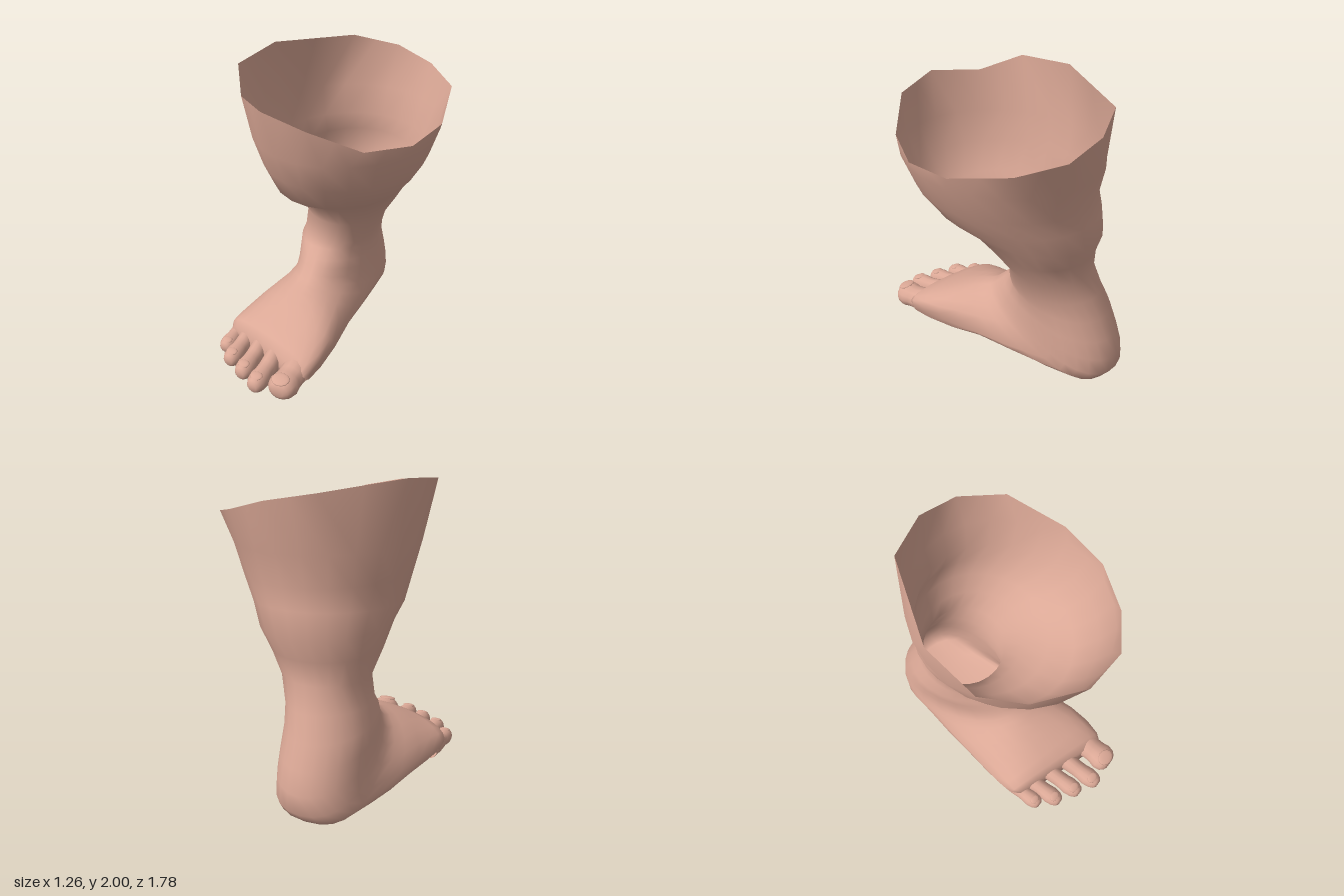
import * as THREE from 'three';

const SEG = 24;
const skin = new THREE.MeshStandardMaterial({ color: 0xdba896, side: THREE.DoubleSide });

// A closed ring of n points, each found from the cosine and sine of its angle
function ring(n, point) {
  return Array.from({ length: n }, (_, i) => {
    const t = i / n * Math.PI * 2;
    return point(Math.cos(t), Math.sin(t));
  });
}

// Skin a list of rings and close the last one with a fan
function loft(rings, name) {
  const pos = rings.flat(2), idx = [], n = rings[0].length, end = (rings.length - 1) * n;
  for (let k = 0; k < end; k += n) {
    for (let i = 0; i < n; i++) {
      const a = k + i, b = k + (i + 1) % n;
      idx.push(a, b, a + n, b, b + n, a + n);
    }
  }
  const last = rings[rings.length - 1];
  for (let q = 0; q < 3; q++) pos.push(last.reduce((s, p) => s + p[q], 0) / n);
  for (let i = 0; i < n; i++) idx.push(end + i, end + (i + 1) % n, end + n);
  const g = new THREE.BufferGeometry();
  g.setAttribute('position', new THREE.Float32BufferAttribute(pos, 3));
  g.setIndex(idx);
  g.computeVertexNormals();
  const mesh = new THREE.Mesh(g, skin);
  mesh.name = name;
  return mesh;
}

// Corners of the uneven twelve-sided calf rim, from the left side round the front
const RIM = [
  [0.63, 1.69, -0.12], [0.57, 1.67, 0.2], [0.38, 1.7, 0.46], [0.11, 1.84, 0.63],
  [-0.18, 1.9, 0.62], [-0.44, 1.87, 0.41], [-0.6, 1.97, 0.18], [-0.56, 2, -0.2],
  [-0.23, 1.95, -0.7], [0.07, 1.9, -0.78], [0.33, 1.83, -0.72], [0.55, 1.78, -0.51],
];

// Add the middle of each side so the rim meets the rings below
function rimRing() {
  return RIM.flatMap((p, i) => {
    const next = RIM[(i + 1) % RIM.length];
    return [p, p.map((v, q) => (v + next[q]) / 2)];
  });
}

// Each ring: back z, back y, front z, front y, smallest x, largest x
const CALF = [
  [-0.74, 1.6, 0.58, 1.6, -0.565, 0.6],
  [-0.7, 1.4, 0.5, 1.4, -0.52, 0.53],
  [-0.72, 1.27, 0.37, 1.2, -0.5, 0.43],
  [-0.73, 1.1, 0.2, 1.15, -0.48, 0.35],
  [-0.68, 0.96, 0.02, 0.98, -0.45, 0.26],
  [-0.67, 0.81, -0.1, 0.8, -0.4, 0.16],
  [-0.73, 0.65, -0.08, 0.64, -0.42, 0.11],
];
// The same for the foot, turning from the heel to the toe line: sole point, then instep point
const FOOT = [
  [-0.79, 0.49, -0.06, 0.6, -0.46, 0.09],
  [-0.85, 0.34, 0, 0.54, -0.465, 0.09],
  [-0.89, 0.2, 0.04, 0.5, -0.47, 0.09],
  [-0.89, 0.08, 0.08, 0.46, -0.48, 0.09],
  [-0.83, 0.01, 0.12, 0.43, -0.5, 0.09],
  [-0.6, 0, 0.17, 0.41, -0.52, 0.09],
  [-0.35, 0, 0.22, 0.39, -0.555, 0.1],
  [-0.05, 0.01, 0.3, 0.36, -0.59, 0.11],
  [0.2, 0.01, 0.4, 0.32, -0.62, 0.125],
  [0.4, 0.01, 0.49, 0.275, -0.635, 0.125],
  [0.52, 0.01, 0.56, 0.235, -0.63, 0.11],
  [0.61, 0.04, 0.59, 0.18, -0.6, 0.07],
];

function calfRing([bz, by, fz, fy, x0, x1]) {
  return ring(SEG, (c, s) => [
    (x0 + x1) / 2 + (x1 - x0) / 2 * c,
    by + (fy - by) * (1 + s) / 2,
    bz + (fz - bz) * (1 + s) / 2,
  ]);
}

function footRing([bz, by, fz, fy, x0, x1]) {
  const u = (fz + 0.06) / 0.65;                                     // progress from ankle to toe line
  const mid = 0.33 + 0.65 * (u - 0.45) ** 2;                        // height of the widest point
  const lean = 0.09 * Math.sin(Math.PI * u * u);                    // instep ridge towards the big toe
  const flat = 1 - 0.4 * THREE.MathUtils.smoothstep(u, 0.1, 0.42);  // flatness of the sole
  const full = 1 - 0.15 * THREE.MathUtils.smoothstep(u, 0.3, 0.6);  // fullness of the instep
  const skew = 0.36 * u ** 2.2;                                     // slant of the toe line
  const arch = 0.09 * Math.exp(-(((u - 0.52) / 0.16) ** 2));        // lift of the inner sole
  return ring(SEG, (c, s) => {
    const low = s < 0, e = low ? flat : full;
    const side = Math.sign(c) * Math.abs(c) ** e, rise = Math.abs(s) ** e;
    const f = low ? mid * (1 - rise) : mid + (1 - mid) * rise;
    const dx = (x1 - x0) / 2 * side;
    return [
      (x0 + x1) / 2 + dx + (low ? 0 : lean * rise),
      by + (fy - by) * f + (low ? arch * Math.max(0, side) * rise : 0),
      bz + (fz - bz) * f + skew * dx,
    ];
  });
}

// Toe: root x and z, tip x and z, half width, top height at the root and at the tip
const TOES = [
  ['bigToe', 0.01, 0.5, -0.01, 0.87, 0.102, 0.235, 0.182],
  ['secondToe', -0.19, 0.45, -0.185, 0.89, 0.07, 0.225, 0.15],
  ['thirdToe', -0.335, 0.4, -0.325, 0.82, 0.067, 0.21, 0.145],
  ['fourthToe', -0.47, 0.33, -0.465, 0.745, 0.065, 0.195, 0.14],
  ['littleToe', -0.575, 0.28, -0.57, 0.635, 0.06, 0.165, 0.125],
];
// Position along the toe and its thickness there: a neck, then a rounded tip
const TOE_PROFILE = [[0, 0.85], [0.35, 0.95], [0.55, 0.88], [0.66, 0.9], [0.78, 1], [0.9, 0.9], [0.97, 0.68], [1, 0.4]];

function makeToe([name, x0, z0, x1, z1, w, h0, h1]) {
  const toe = new THREE.Group();
  toe.name = name;
  toe.add(loft(TOE_PROFILE.map(([t, size]) => {
    const half = (h0 + (h1 - h0) * Math.min(1, t / 0.7)) / 2;
    return ring(14, (c, s) => [
      x0 + (x1 - x0) * t + w * size * c,
      half + 0.004 + (half - 0.002) * size * s,
      z0 + (z1 - z0) * t,
    ]);
  }), name + 'Flesh'));
  // nail, a thin shell sunk into the tip
  const nail = new THREE.Mesh(new THREE.SphereGeometry(1, 12, 8), skin);
  nail.name = name + 'Nail';
  nail.scale.set(w * 0.62, 0.012, w * 0.5);
  nail.position.set(x1, h1 - 0.014, z1 - (z1 - z0) * 0.13);
  nail.rotation.x = 0.25;
  toe.add(nail);
  return toe;
}

export function createModel() {
  const model = new THREE.Group();
  model.name = 'foot';
  model.add(loft([rimRing(), ...CALF.map(calfRing), ...FOOT.map(footRing)], 'legAndFoot'));
  TOES.forEach(t => model.add(makeToe(t)));
  return model;
}
